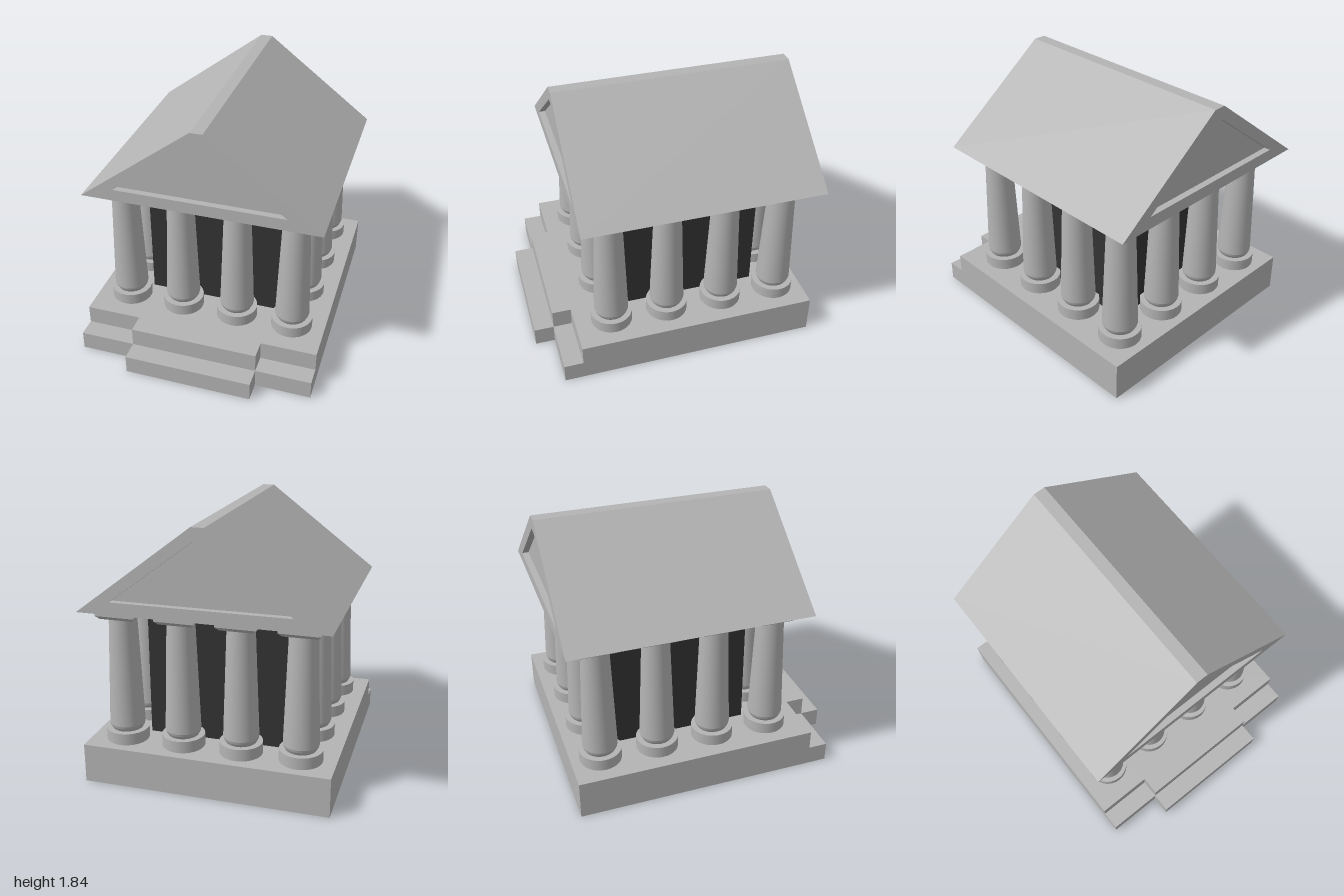
import * as THREE from 'three';

const stone = new THREE.MeshStandardMaterial({ name: 'stone grey', color: 0xb4b4b4 });
const dark = new THREE.MeshStandardMaterial({ name: 'dark interior', color: 0x333333 });

const MID_Z = -0.155;     // centre of the colonnade
const FLOOR = 0.275;      // top of the platform
const EAVES = 1.235;      // underside of the roof

function add(parent, name, geometry, material, x = 0, y = 0, z = 0) {
  const mesh = new THREE.Mesh(geometry, material);
  mesh.name = name;
  mesh.position.set(x, y, z);
  parent.add(mesh);
  return mesh;
}

const points = (list) => list.map(([x, y]) => new THREE.Vector2(x, y));

const extrude = (shape, depth) =>
  new THREE.ExtrudeGeometry(shape, { depth, bevelEnabled: false });

// Platform tier: rectangle with a projecting centre at the front
function tier(front, projection, height) {
  const back = 0.98, w = 0.855, c = 0.457;
  const outline = points([
    [-w, back], [-w, -front], [-c, -front], [-c, -projection],
    [c, -projection], [c, -front], [w, -front], [w, back],
  ]);
  return extrude(new THREE.Shape(outline), height).rotateX(-Math.PI / 2);
}

// Gable outline: triangle with a clipped peak
const gable = (w, bottom, peak, top) =>
  points([[-w, bottom], [w, bottom], [peak, top], [-peak, top]]);

// Round section between two heights
function drum(rTop, rBottom, y0, y1) {
  return new THREE.CylinderGeometry(rTop, rBottom, y1 - y0, 32).translate(0, (y0 + y1) / 2, 0);
}

// Square block narrowing downwards, with flat faces
function taperedBlock(halfTop, halfBottom, y0, y1) {
  const g = new THREE.CylinderGeometry(halfTop * Math.SQRT2, halfBottom * Math.SQRT2, y1 - y0, 4)
    .rotateY(Math.PI / 4).translate(0, (y0 + y1) / 2, 0).toNonIndexed();
  g.computeVertexNormals();
  return g;
}

// Column parts, shared by all columns
const columnParts = {
  columnBase: drum(0.147, 0.147, FLOOR, 0.358),
  columnNeck: drum(0.117, 0.105, 0.358, 0.38),
  columnCollar: drum(0.122, 0.117, 0.38, 0.398),
  columnShaft: drum(0.094, 0.122, 0.398, 1.162),
  capitalBevel: taperedBlock(0.138, 0.113, 1.162, 1.187),
  capitalSlab: new THREE.BoxGeometry(0.276, EAVES - 1.187, 0.276).translate(0, (EAVES + 1.187) / 2, 0),
};

function createColumn(x, z) {
  const column = new THREE.Group();
  column.name = 'column';
  for (const [name, geometry] of Object.entries(columnParts)) add(column, name, geometry, stone);
  column.position.set(x, 0, z);
  return column;
}

export function createModel() {
  const model = new THREE.Group();
  model.name = 'temple';

  // Stepped platform
  add(model, 'lowerPlatform', tier(0.86, 1.0, 0.137), stone);
  add(model, 'upperPlatform', tier(0.725, 0.86, FLOOR - 0.137), stone, 0, 0.137, 0);

  // Inner chamber
  add(model, 'chamber', new THREE.BoxGeometry(0.98, EAVES - FLOOR, 0.98), dark,
    0, (EAVES + FLOOR) / 2, MID_Z);

  // Ring of twelve columns
  const colonnade = new THREE.Group();
  colonnade.name = 'colonnade';
  for (let i = 0; i < 4; i++) {
    for (let j = 0; j < 4; j++) {
      if (i % 3 && j % 3) continue;
      colonnade.add(createColumn((i - 1.5) * 0.41, MID_Z + (j - 1.5) * 0.41));
    }
  }
  model.add(colonnade);

  // Gabled roof with a sunken panel at each end
  const length = 1.685, recess = 0.045;
  const inner = gable(0.6, 1.32, 0.032, 1.748);
  const roof = new THREE.Shape(gable(0.837, EAVES, 0.043, 1.837));
  roof.holes.push(new THREE.Path(inner));
  add(model, 'roof', extrude(roof, length), stone, 0, 0, -1);
  add(model, 'gablePanels', extrude(new THREE.Shape(inner), length - 2 * recess), stone, 0, 0, -1 + recess);

  return model;
}
